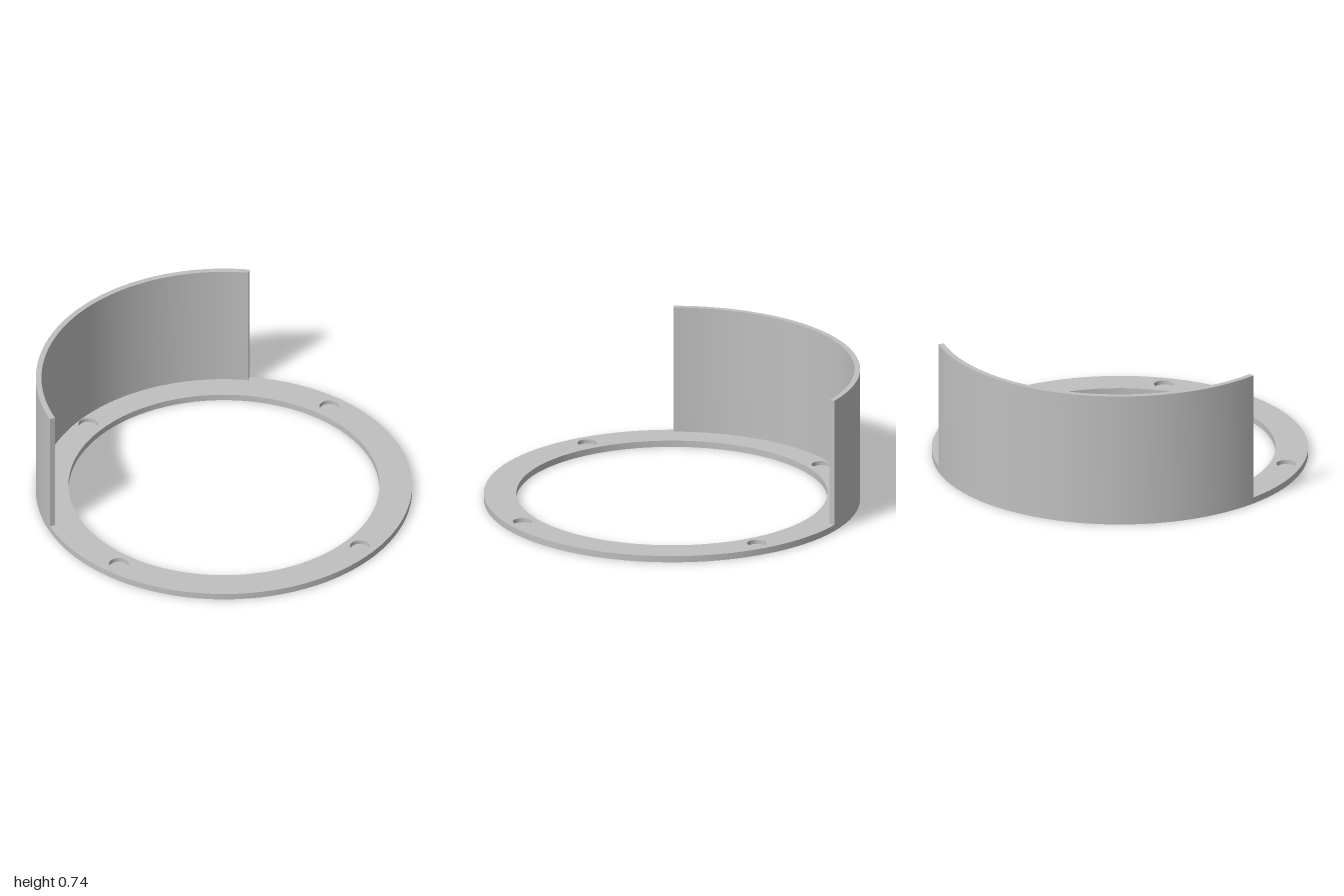
import * as THREE from 'three';
import { toCreasedNormals } from 'three/addons/utils/BufferGeometryUtils.js';

const OUTER = 1, INNER = 0.827, WALL_INNER = 0.97;
const FLOOR = 0.012, BASE = 0.035, TOP = 0.735;
const HOLE_RADIUS = 0.052, HOLE_CENTRE = 0.913;

// Extrude a plan shape upwards from y0 to y1 (shape +y points to the back)
function slab(name, shape, y0, y1, material) {
  const geometry = new THREE.ExtrudeGeometry(shape, { depth: y1 - y0, bevelEnabled: false, curveSegments: 48 });
  geometry.rotateX(-Math.PI / 2);
  geometry.translate(0, y0, 0);
  const mesh = new THREE.Mesh(toCreasedNormals(geometry, Math.PI / 6), material);
  mesh.name = name;
  return mesh;
}

function circle(x, y, r) {
  return new THREE.Path().absarc(x, y, r, 0, Math.PI * 2, true);
}

function ringShape() {
  const shape = new THREE.Shape();
  shape.absarc(0, 0, OUTER, 0, Math.PI * 2, false);
  shape.holes.push(circle(0, 0, INNER));
  return shape;
}

export function createModel() {
  const group = new THREE.Group();
  group.name = 'ringWithShield';
  const grey = new THREE.MeshStandardMaterial({ color: 0xc0c0c0 });
  grey.name = 'grey';

  // Closed underside of the ring, which is also the floor of the pockets
  group.add(slab('ringFloor', ringShape(), 0, FLOOR, grey));

  // Upper layer of the ring with four round blind pockets
  const pocketed = ringShape();
  for (let i = 0; i < 4; i++) {
    const a = i * Math.PI / 2;
    pocketed.holes.push(circle(HOLE_CENTRE * Math.cos(a), HOLE_CENTRE * Math.sin(a), HOLE_RADIUS));
  }
  group.add(slab('pocketedRing', pocketed, FLOOR, BASE, grey));

  // Curved wall covering the rear 120 degrees
  const a0 = Math.PI / 6, a1 = Math.PI - a0;
  const arc = new THREE.Shape();
  arc.absarc(0, 0, OUTER, a0, a1, false);
  arc.absarc(0, 0, WALL_INNER, a1, a0, true);
  arc.closePath();
  group.add(slab('rearWall', arc, BASE, TOP, grey));

  return group;
}
